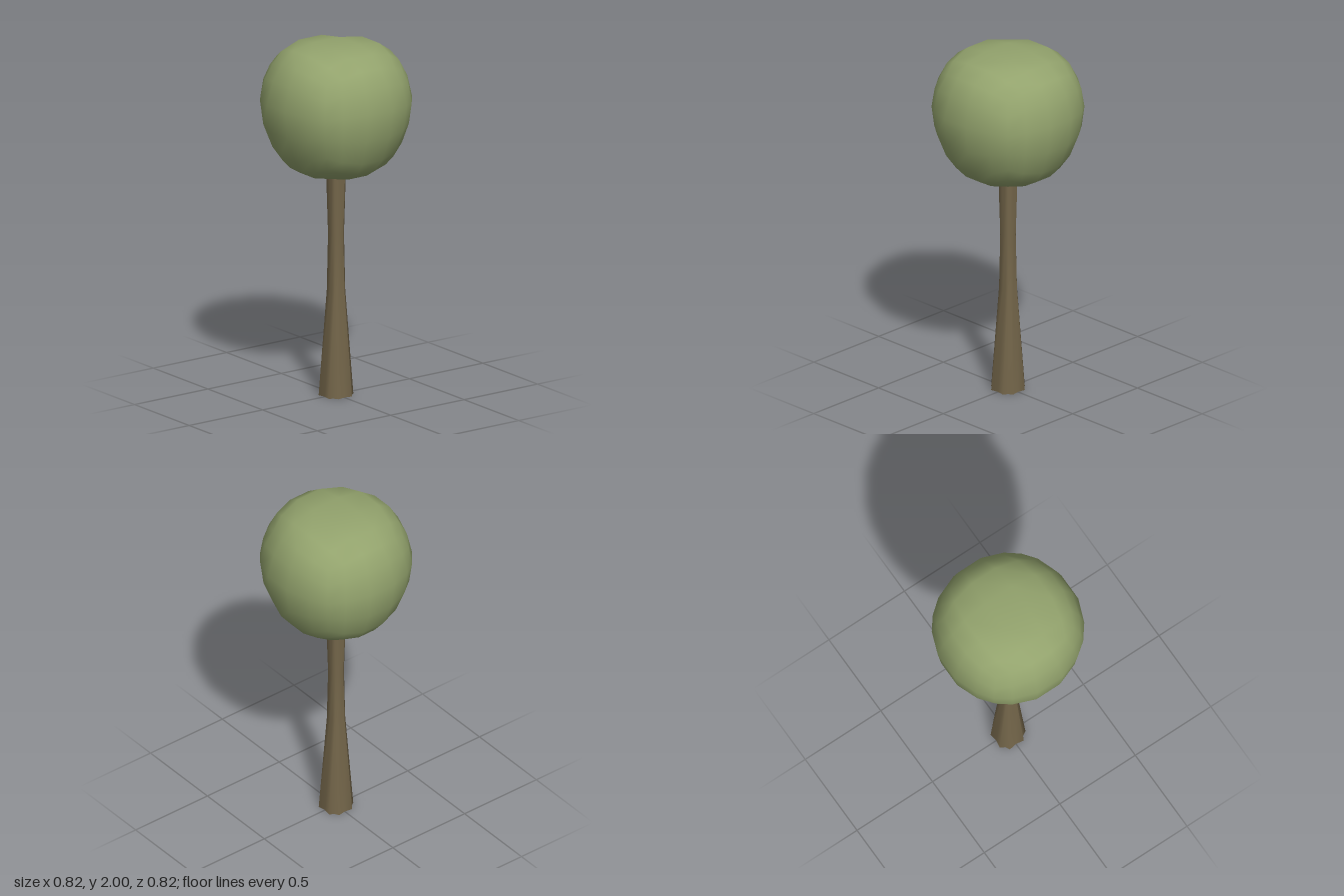
import * as THREE from 'three';
import { mergeVertices } from 'three/addons/utils/BufferGeometryUtils.js';

// Weld all seams so the surface shades smoothly
function smooth(geo) {
  geo.deleteAttribute('uv');
  geo.deleteAttribute('normal');
  const g = mergeVertices(geo, 1e-4);
  g.computeVertexNormals();
  return g;
}

// Linear lookup in a list of [input, output] pairs in rising order
function lookup(table, t) {
  for (let i = 1; i < table.length; i++) {
    const [a, va] = table[i - 1], [b, vb] = table[i];
    if (t <= b || i === table.length - 1) {
      return THREE.MathUtils.lerp(va, vb, THREE.MathUtils.clamp((t - a) / (b - a), 0, 1));
    }
  }
}

// Fluted cross-section: eight ridges in pairs, with grooves between
const fluted = [];
for (let q = 0; q < 4; q++) {
  for (const [deg, r] of [[0, 0.077], [28, 0.096], [45, 0.084], [62, 0.096]]) {
    const a = THREE.MathUtils.degToRad(deg + q * 90);
    fluted.push(new THREE.Vector2(Math.sin(a) * r, Math.cos(a) * r));
  }
}

function trunkGeometry() {
  const rings = [[0, 1], [0.6, 0.53], [0.92, 0.46], [1.3, 0.58]]; // height, scale
  const geo = new THREE.CylinderGeometry(1, 1, 1, 16, rings.length - 1, true);
  const p = geo.attributes.position;
  for (let i = 0; i < p.count; i++) {
    const [y, s] = rings[rings.length - 1 - Math.floor(i / 17)];
    const c = fluted[(i % 17) % 16];
    p.setXYZ(i, c.x * s, y, c.y * s);
  }
  return smooth(geo);
}

function crownGeometry() {
  // Box blown up to a ball, flattened at both ends and wider towards the top
  const heights = [[-0.41, 1.278], [-0.36, 1.28], [-0.297, 1.325], [-0.215, 1.4], [-0.083, 1.54],
    [0.083, 1.7], [0.215, 1.83], [0.297, 1.92], [0.36, 1.98], [0.41, 2]];
  const widths = [[-0.36, 0.9], [-0.215, 0.92], [-0.083, 0.95], [0.083, 1], [0.215, 1.04], [0.297, 1.08], [0.36, 1.09]];
  const geo = new THREE.BoxGeometry(2, 2, 2, 5, 5, 5);
  const p = geo.attributes.position;
  const v = new THREE.Vector3();
  for (let i = 0; i < p.count; i++) {
    v.fromBufferAttribute(p, i).setLength(0.425);
    const w = lookup(widths, v.y);
    p.setXYZ(i, v.x * w, lookup(heights, v.y), v.z * w);
  }
  return smooth(geo);
}

export function createModel() {
  const leaf = new THREE.MeshStandardMaterial({ color: 0x93a36d });
  leaf.name = 'leafGreen';
  const bark = new THREE.MeshStandardMaterial({ color: 0x74664a });
  bark.name = 'barkBrown';
  const dark = new THREE.MeshStandardMaterial({ color: 0x0c0b09 });
  dark.name = 'undersideDark';

  const model = new THREE.Group();
  model.name = 'tree';
  const add = (name, geo, mat) => {
    const mesh = new THREE.Mesh(geo, mat);
    mesh.name = name;
    model.add(mesh);
    return mesh;
  };

  add('trunk', trunkGeometry(), bark);
  // Underside of the trunk, facing down
  add('trunkBase', new THREE.ShapeGeometry(new THREE.Shape(fluted)), dark).rotation.x = Math.PI / 2;
  add('crown', crownGeometry(), leaf);
  return model;
}
